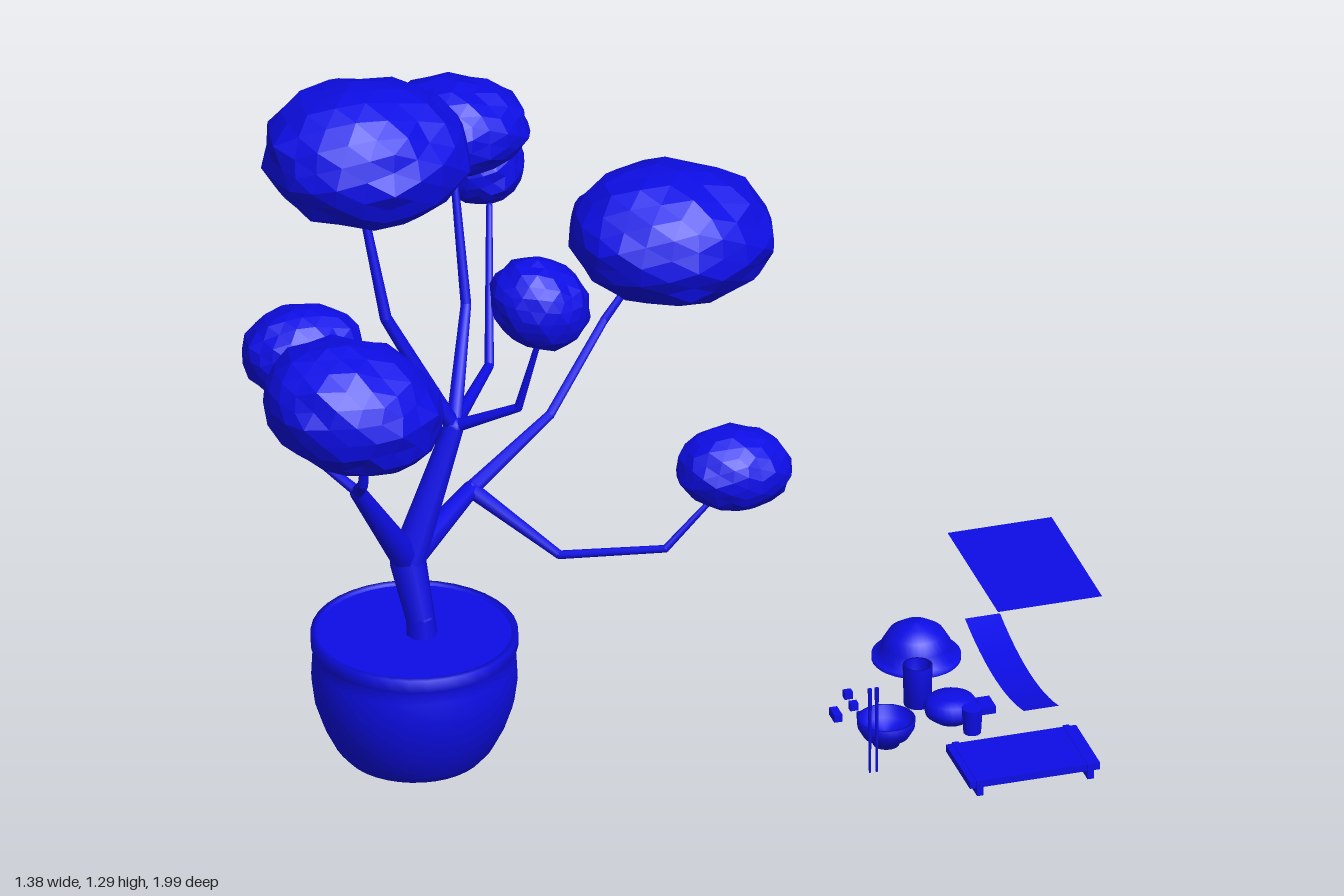
import * as THREE from 'three';

const material = new THREE.MeshStandardMaterial({ color: 0x0d0de6, side: THREE.DoubleSide });
const leafMaterial = new THREE.MeshStandardMaterial({ color: 0x0d0de6, flatShading: true });

function add(parent, name, geometry, x = 0, y = 0, z = 0, mat = material) {
  const mesh = new THREE.Mesh(geometry, mat);
  mesh.name = name;
  mesh.position.set(x, y, z);
  parent.add(mesh);
  return mesh;
}

const lathe = (profile, sides = 32) =>
  new THREE.LatheGeometry(profile.map(([r, y]) => new THREE.Vector2(r, y)), sides);

// Chain of tapered limbs; each point is [x, y, z, radius]
function branch(parent, name, points) {
  const group = new THREE.Group();
  group.name = name;
  parent.add(group);
  const up = new THREE.Vector3(0, 1, 0);
  for (let i = 0; i < points.length - 1; i++) {
    const a = new THREE.Vector3(...points[i]), b = new THREE.Vector3(...points[i + 1]);
    const dir = b.clone().sub(a), mid = a.clone().add(b).multiplyScalar(0.5);
    const limb = add(group, 'limb', new THREE.CylinderGeometry(points[i + 1][3], points[i][3], dir.length(), 8, 1, true), mid.x, mid.y, mid.z);
    limb.quaternion.setFromUnitVectors(up, dir.normalize());
    add(group, 'joint', new THREE.SphereGeometry(points[i + 1][3], 8, 6), b.x, b.y, b.z);
  }
}

// Bumpy ball of leaves
function foliage(parent, [x, y, z], [rx, ry, rz], tilt, seed) {
  const g = new THREE.IcosahedronGeometry(1, 3), p = g.attributes.position, v = new THREE.Vector3();
  for (let i = 0; i < p.count; i++) {
    v.fromBufferAttribute(p, i);
    const bump = Math.sin(v.x * 9 + seed) * Math.sin(v.y * 10 + seed * 2) + Math.sin(v.z * 11 + seed * 3) * Math.cos(v.x * 8 - v.y * 7);
    v.multiplyScalar(0.985 + 0.03 * bump);
    p.setXYZ(i, v.x * rx, v.y * ry, v.z * rz);
  }
  g.computeVertexNormals();
  add(parent, 'foliage', g, x, y, z, leafMaterial).rotation.z = tilt;
}

function buildTree() {
  const tree = new THREE.Group();
  tree.name = 'pottedTree';

  // Pot with soil
  add(tree, 'pot', lathe([[0, 0], [0.128, 0], [0.145, 0.02], [0.165, 0.06], [0.18, 0.105], [0.186, 0.15],
    [0.184, 0.19], [0.178, 0.21], [0.187, 0.217], [0.187, 0.242], [0.176, 0.242], [0.174, 0.232]], 36), -0.36, 0, -0.428);
  add(tree, 'soil', new THREE.CylinderGeometry(0.176, 0.176, 0.01, 36), -0.36, 0.233, -0.428);

  // Trunk and boughs
  const fork = [-0.365, 0.375, -0.452, 0.034];
  const left = [-0.485, 0.58, -0.37, 0.015];
  const centre = [-0.27, 0.62, -0.48, 0.02];
  const right = [-0.2, 0.415, -0.6, 0.016];
  branch(tree, 'trunk', [[-0.345, 0.2, -0.42, 0.03], [-0.35, 0.27, -0.425, 0.027], fork]);
  branch(tree, 'leftBough', [[...fork.slice(0, 3), 0.028], left]);
  branch(tree, 'centreBough', [fork, centre]);
  branch(tree, 'rightBough', [[...fork.slice(0, 3), 0.027], right]);

  // Twigs
  const twigs = [
    [[...left.slice(0, 3), 0.012], [-0.5, 0.64, -0.29, 0.01], [-0.5, 0.73, -0.27, 0.007]],
    [[...left.slice(0, 3), 0.01], [-0.62, 0.71, -0.415, 0.006], [-0.62, 0.82, -0.43, 0.005]],
    [[...centre.slice(0, 3), 0.015], [-0.39, 0.85, -0.505, 0.011], [-0.42, 1.06, -0.55, 0.008]],
    [[...centre.slice(0, 3), 0.015], [-0.2, 0.78, -0.63, 0.01], [-0.2, 1.03, -0.71, 0.007]],
    [[...centre.slice(0, 3), 0.013], [-0.15, 0.635, -0.65, 0.009], [-0.1, 0.87, -0.81, 0.006]],
    [[...centre.slice(0, 3), 0.012], [-0.17, 0.68, -0.41, 0.008], [-0.135, 0.84, -0.385, 0.005]],
    [[...right.slice(0, 3), 0.015], [-0.02, 0.485, -0.7, 0.009], [0.11, 0.61, -0.79, 0.008], [0.19, 0.7, -0.81, 0.006]],
    [[...right.slice(0, 3), 0.015], [-0.08, 0.34, -0.45, 0.008], [0.09, 0.375, -0.355, 0.007], [0.19, 0.47, -0.36, 0.005]],
  ];
  twigs.forEach((t) => branch(tree, 'twig', t));

  // Leaf clusters: centre, radii, tilt
  [
    [[-0.402, 1.152, -0.58], [0.193, 0.133, 0.164], -0.12],
    [[-0.185, 1.08, -0.755], [0.142, 0.088, 0.114], -0.12],
    [[-0.097, 0.925, -0.893], [0.085, 0.08, 0.105], -0.2],
    [[-0.14, 0.908, -0.378], [0.098, 0.082, 0.09], -0.6],
    [[-0.525, 0.815, -0.27], [0.172, 0.122, 0.146], -0.35],
    [[-0.568, 0.85, -0.43], [0.115, 0.09, 0.09], -0.1],
    [[0.246, 0.755, -0.815], [0.193, 0.127, 0.16], -0.12],
    [[0.223, 0.514, -0.367], [0.108, 0.077, 0.088], -0.1],
  ].forEach(([c, r, tilt], i) => foliage(tree, c, r, tilt, i * 1.7 + 1));
  return tree;
}

function buildTableware() {
  const set = new THREE.Group();
  set.name = 'tableware';

  // Flat mat
  add(set, 'mat', new THREE.PlaneGeometry(0.196, 0.305), 0.593, 0.557, 0.203).rotation.x = -Math.PI / 2;

  // Sagging long dish
  const dish = new THREE.PlaneGeometry(0.066, 0.356, 1, 12).rotateX(-Math.PI / 2);
  const p = dish.attributes.position;
  for (let i = 0; i < p.count; i++) p.setY(i, 0.027 * (p.getZ(i) / 0.178) ** 2);
  dish.computeVertexNormals();
  add(set, 'longDish', dish, 0.448, 0.56, 0.59);

  // Domed cover with a brim
  add(set, 'domedCover', lathe([[0.081, 0.578], [0.081, 0.586], [0.067, 0.586], [0.063, 0.609], [0.05, 0.631],
    [0.027, 0.646], [0, 0.651]]), 0.294, 0, 0.506);

  // Footed bowl
  add(set, 'bowl', lathe([[0, 0.563], [0.024, 0.563], [0.024, 0.571], [0.042, 0.582], [0.052, 0.6], [0.053, 0.615],
    [0.048, 0.615], [0.043, 0.592], [0, 0.58]]), 0.156, 0, 0.767);

  // Cup
  add(set, 'cup', lathe([[0, 0.557], [0.025, 0.557], [0.027, 0.637], [0.022, 0.637], [0.021, 0.57], [0, 0.57]], 24), 0.257, 0, 0.633);

  // Teapot with spout and side handle
  add(set, 'teapot', lathe([[0, 0.565], [0.03, 0.565], [0.047, 0.578], [0.05, 0.592], [0.042, 0.606], [0.02, 0.612], [0, 0.613]], 24), 0.294, 0, 0.718);
  add(set, 'teapotSpout', new THREE.BoxGeometry(0.028, 0.014, 0.042), 0.366, 0.566, 0.692);
  add(set, 'teapotHandle', new THREE.CylinderGeometry(0.019, 0.016, 0.05, 16), 0.304, 0.611, 0.812);

  // Low tray table
  add(set, 'trayTop', new THREE.BoxGeometry(0.245, 0.014, 0.145), 0.366, 0.582, 0.92);
  for (const x of [0.262, 0.47]) add(set, 'traySide', new THREE.BoxGeometry(0.012, 0.03, 0.152), x, 0.575, 0.92);

  // Upright chopsticks
  for (const x of [0.101, 0.114]) add(set, 'chopstick', new THREE.CylinderGeometry(0.004, 0.002, 0.172, 6), x, 0.64, 0.845);

  // Small morsels
  [[0.1, 0.642, 0.032], [0.143, 0.577, 0.013], [0.14, 0.62, 0.013], [0.143, 0.663, 0.016]].forEach(([x, z, d]) =>
    add(set, 'morsel', new THREE.BoxGeometry(0.015, 0.015, d), x, 0.565, z));
  return set;
}

export function createModel() {
  const model = new THREE.Group();
  model.name = 'treeAndTableware';
  model.add(buildTree(), buildTableware());
  return model;
}
